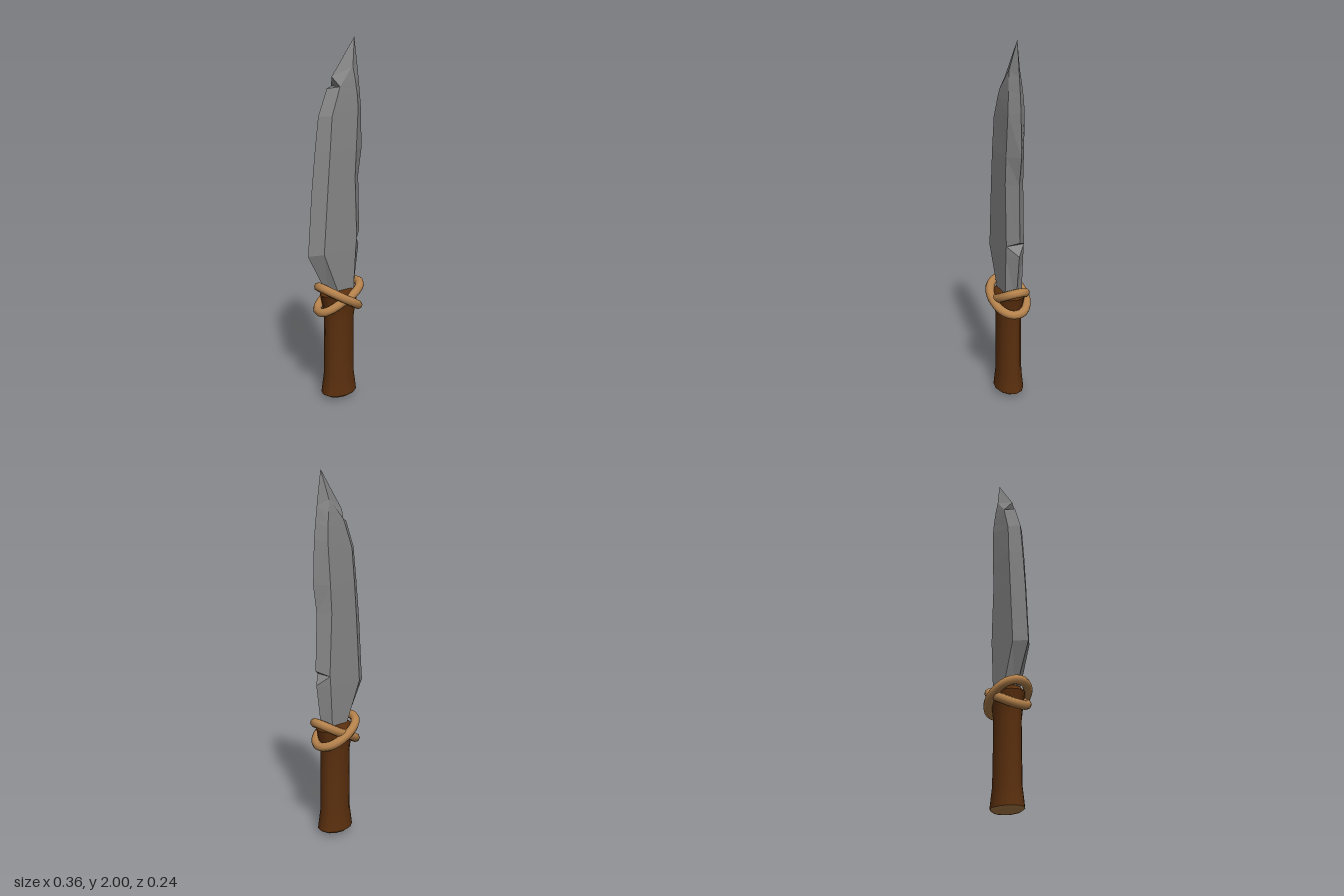
import * as THREE from 'three';

const steel = new THREE.MeshStandardMaterial({ color: 0x868686 });
steel.name = 'steel';
steel.flatShading = true;
const wood = new THREE.MeshStandardMaterial({ color: 0x5a2f0e });
wood.name = 'darkWood';
const tan = new THREE.MeshStandardMaterial({ color: 0xb5824c });
tan.name = 'tanCord';

function part(name, geometry, material) {
  const mesh = new THREE.Mesh(geometry, material);
  mesh.name = name;
  return mesh;
}

// Blade: six-sided sections; each row is spine edge, two ridges, cutting edge (x, y) and half thickness
function bladeGeometry() {
  const rows = [
    [-0.045, 0.6, 0.0, 0.6, 0.085, 0.6, 0.12, 0.6, 0.05],
    [-0.18, 0.86, -0.11, 0.87, 0.1, 0.87, 0.157, 0.88, 0.052],
    [-0.174, 0.93, -0.106, 0.93, 0.105, 0.93, 0.105, 0.93, 0.052], // lower chip
    [-0.172, 0.96, -0.103, 0.97, 0.104, 0.98, 0.162, 0.96, 0.052],
    [-0.155, 1.2, -0.085, 1.23, 0.092, 1.27, 0.152, 1.27, 0.052],
    [-0.132, 1.42, -0.07, 1.42, 0.1, 1.42, 0.174, 1.42, 0.051],
    [-0.11, 1.6, -0.055, 1.6, 0.113, 1.64, 0.166, 1.65, 0.047],
    [-0.055, 1.74, -0.015, 1.71, 0.109, 1.71, 0.156, 1.74, 0.043],
    [0.0, 1.75, 0.0, 1.75, 0.104, 1.75, 0.151, 1.78, 0.04], // upper chip
    [-0.025, 1.8, 0.03, 1.785, 0.099, 1.79, 0.146, 1.82, 0.037],
    [0.03, 1.875, 0.08, 1.845, 0.09, 1.85, 0.139, 1.87, 0.03],
    [0.12, 2.0, 0.12, 2.0, 0.12, 2.0, 0.12, 2.0, 0],
  ];
  const chips = [2, 8];
  const loops = rows.map(([ax, ay, bx, by, cx, cy, dx, dy, z]) => [
    [ax, ay, 0], [bx, by, z], [cx, cy, z], [dx, dy, 0], [cx, cy, -z], [bx, by, -z],
  ]);
  const pos = [];
  for (let i = 0; i < loops.length - 1; i++) {
    for (let k = 0; k < 6; k++) {
      const n = (k + 1) % 6;
      const a = loops[i][k], b = loops[i][n], c = loops[i + 1][n], d = loops[i + 1][k];
      // Diagonals run from the outer edge so the chips keep crisp walls
      const alongAC = (k % 3 === 0) !== chips.includes(i);
      const tris = alongAC ? [a, b, c, a, c, d] : [a, b, d, b, c, d];
      tris.forEach((p) => pos.push(...p));
    }
  }
  const g = new THREE.BufferGeometry();
  g.setAttribute('position', new THREE.Float32BufferAttribute(pos, 3));
  g.computeVertexNormals();
  return g;
}

// Oval turned shape for the grip and its ends
function oval(profile) {
  const g = new THREE.LatheGeometry(profile.map(([r, y]) => new THREE.Vector2(r, y)), 12);
  g.scale(1, 1, 0.75);
  g.translate(0.024, 0, 0);
  return g;
}

// Tilted cord loop around the grip
class LoopCurve extends THREE.Curve {
  constructor(cx, rx, rz, rise, power) {
    super();
    Object.assign(this, { cx, rx, rz, rise, power });
  }
  getPoint(t, target = new THREE.Vector3()) {
    const c = Math.cos(t * Math.PI * 2), s = Math.sin(t * Math.PI * 2);
    const soft = (v) => Math.sign(v) * Math.abs(v) ** this.power;
    return target.set(this.cx + this.rx * soft(c), 0.6 + this.rise * c, this.rz * soft(s));
  }
}

export function createModel() {
  const group = new THREE.Group();
  group.name = 'knife';
  group.add(part('blade', bladeGeometry(), steel));

  // Grip with flared pommel and collar
  group.add(part('handle', oval([[0.108, 0.03], [0.104, 0.06], [0.093, 0.14], [0.091, 0.3], [0.09, 0.48], [0.1, 0.55], [0.115, 0.62]]), wood));
  group.add(part('handleTop', oval([[0.115, 0.62], [0.085, 0.65], [0, 0.655]]), wood));
  group.add(part('handleEnd', oval([[0, 0], [0.085, 0.015], [0.108, 0.03]]), tan));

  // Two crossing cord loops
  const loops = [
    ['innerCord', new LoopCurve(0.022, 0.128, 0.077, 0.068, 0.85)],
    ['outerCord', new LoopCurve(0.02, 0.115, 0.097, -0.068, 0.95)],
  ];
  for (const [name, curve] of loops) {
    group.add(part(name, new THREE.TubeGeometry(curve, 32, 0.025, 8, true), tan));
  }
  return group;
}
